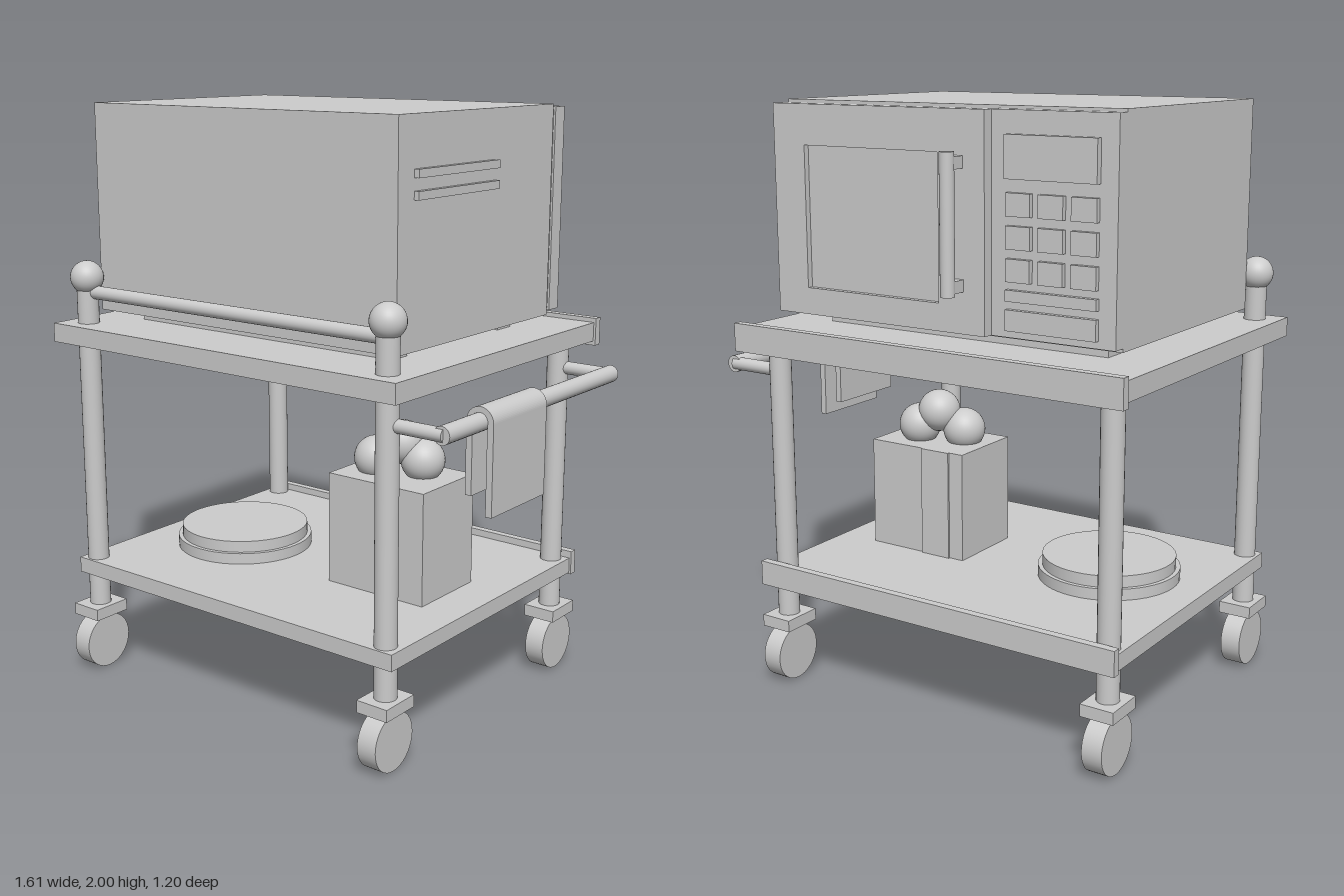
import * as THREE from 'three';

export function createModel() {
  const root = new THREE.Group();
  const mat = new THREE.MeshStandardMaterial({ color: 0xcccccc });

  const add = (name, geo, x = 0, y = 0, z = 0) => {
    const m = new THREE.Mesh(geo, mat);
    m.name = name;
    m.position.set(x, y, z);
    root.add(m);
    return m;
  };
  // Box given by its limits on each axis
  const box = (name, x0, x1, y0, y1, z0, z1) =>
    add(name, new THREE.BoxGeometry(x1 - x0, y1 - y0, z1 - z0), (x0 + x1) / 2, (y0 + y1) / 2, (z0 + z1) / 2);
  // Round bar between two points
  const bar = (name, a, b, r, seg = 24) => {
    const p = new THREE.Vector3(...a), q = new THREE.Vector3(...b);
    const m = add(name, new THREE.CylinderGeometry(r, r, p.distanceTo(q), seg));
    m.position.copy(p).add(q).multiplyScalar(0.5);
    m.quaternion.setFromUnitVectors(new THREE.Vector3(0, 1, 0), q.sub(p).normalize());
    return m;
  };
  const ball = (name, r, x, y, z) => add(name, new THREE.SphereGeometry(r, 32, 20), x, y, z);

  // Shelves with a raised lip along the back
  box('lowerShelf', -0.765, 0.615, 0.353, 0.408, -0.53, 0.545);
  box('lowerShelfLip', -0.772, 0.622, 0.348, 0.433, -0.553, -0.525);
  box('upperShelf', -0.803, 0.649, 1.195, 1.26, -0.575, 0.583);
  box('upperShelfLip', -0.81, 0.657, 1.18, 1.275, -0.6, -0.57);

  // Posts, casters and finials
  for (const x of [-0.717, 0.56]) {
    for (const z of [0.5, -0.488]) {
      bar('post', [x, 0.22, z], [x, z > 0 ? 1.4 : 1.2, z], 0.037);
      box('casterPlate', x - 0.058, x + 0.058, 0.197, 0.238, z - 0.071, z + 0.071);
      bar('wheel', [x - 0.035, 0.097, z], [x + 0.035, 0.097, z], 0.097, 36);
    }
    ball('finial', 0.057, x, 1.417, 0.5);
  }
  bar('frontRail', [-0.717, 1.367, 0.495], [0.56, 1.367, 0.495], 0.023);

  // Push handle on the side
  for (const z of [0.495, -0.492]) bar('handleArm', [0.56, 1.107, z], [0.76, 1.107, z], 0.022);
  bar('pushHandle', [0.755, 1.107, -0.505], [0.755, 1.107, 0.505], 0.029);

  // Towel folded over the handle
  const towel = new THREE.Shape();
  towel.moveTo(0.048, -0.29);
  towel.lineTo(0.048, 0);
  towel.absarc(0, 0, 0.048, 0, Math.PI, false);
  towel.lineTo(-0.048, -0.234);
  towel.lineTo(-0.026, -0.234);
  towel.lineTo(-0.026, 0);
  towel.absarc(0, 0, 0.026, Math.PI, 0, true);
  towel.lineTo(0.026, -0.29);
  add('towel', new THREE.ExtrudeGeometry(towel, { depth: 0.305, bevelEnabled: false, curveSegments: 16 }), 0.756, 1.106, 0);

  // Oven body on two feet
  box('ovenBody', -0.703, 0.553, 1.3, 2, -0.412, 0.448);
  for (const z of [0.304, -0.292]) box('ovenFoot', -0.61, 0.46, 1.255, 1.305, z - 0.039, z + 0.039);
  for (const y of [1.829, 1.765]) box('sideVent', 0.55, 0.57, y - 0.013, y + 0.013, -0.068, 0.368);

  // Door with recessed window
  const door = new THREE.Shape();
  door.moveTo(-0.27, 1.312);
  door.lineTo(0.55, 1.312);
  door.lineTo(0.55, 1.99);
  door.lineTo(-0.27, 1.99);
  const win = new THREE.Path();
  win.moveTo(-0.1, 1.4);
  win.lineTo(-0.1, 1.86);
  win.lineTo(0.424, 1.86);
  win.lineTo(0.424, 1.4);
  door.holes.push(win);
  add('doorFrame', new THREE.ExtrudeGeometry(door, { depth: 0.058, bevelEnabled: false }), 0, 0, -0.49);
  box('doorWindow', -0.11, 0.434, 1.39, 1.87, -0.47, -0.44);
  box('doorSeal', -0.27, 0.543, 1.32, 1.98, -0.434, -0.41);

  // Door handle
  bar('doorHandle', [-0.175, 1.434, -0.548], [-0.175, 1.868, -0.548], 0.023);
  for (const y of [1.462, 1.834]) box('doorHandleMount', -0.193, -0.157, y - 0.019, y + 0.019, -0.545, -0.485);

  // Control panel
  box('controlPanel', -0.703, -0.272, 1.312, 1.99, -0.455, -0.41);
  box('display', -0.645, -0.33, 1.79, 1.92, -0.477, -0.45);
  for (let row = 0; row < 3; row++) {
    for (let col = 0; col < 3; col++) {
      const x = -0.374 - col * 0.113, y = 1.715 - row * 0.098;
      box('keypadButton', x - 0.043, x + 0.043, y - 0.035, y + 0.035, -0.472, -0.45);
    }
  }
  box('wideButton', -0.645, -0.33, 1.425, 1.46, -0.472, -0.45);
  box('startButton', -0.645, -0.33, 1.335, 1.4, -0.472, -0.45);

  // Fruit box with a band on its back
  box('fruitBox', 0.08, 0.467, 0.4, 0.793, -0.114, 0.177);
  box('fruitBoxBand', 0.135, 0.25, 0.4, 0.793, -0.121, -0.11);
  ball('fruit', 0.075, 0.183, 0.838, 0.05);
  ball('fruit', 0.075, 0.27, 0.9, 0.02);
  ball('fruit', 0.075, 0.34, 0.845, 0.0);

  // Stacked round dish and lid
  bar('dish', [-0.413, 0.4, 0.055], [-0.413, 0.447, 0.055], 0.243, 48);
  bar('dishLid', [-0.413, 0.44, 0.055], [-0.413, 0.487, 0.055], 0.228, 48);

  return root;
}
